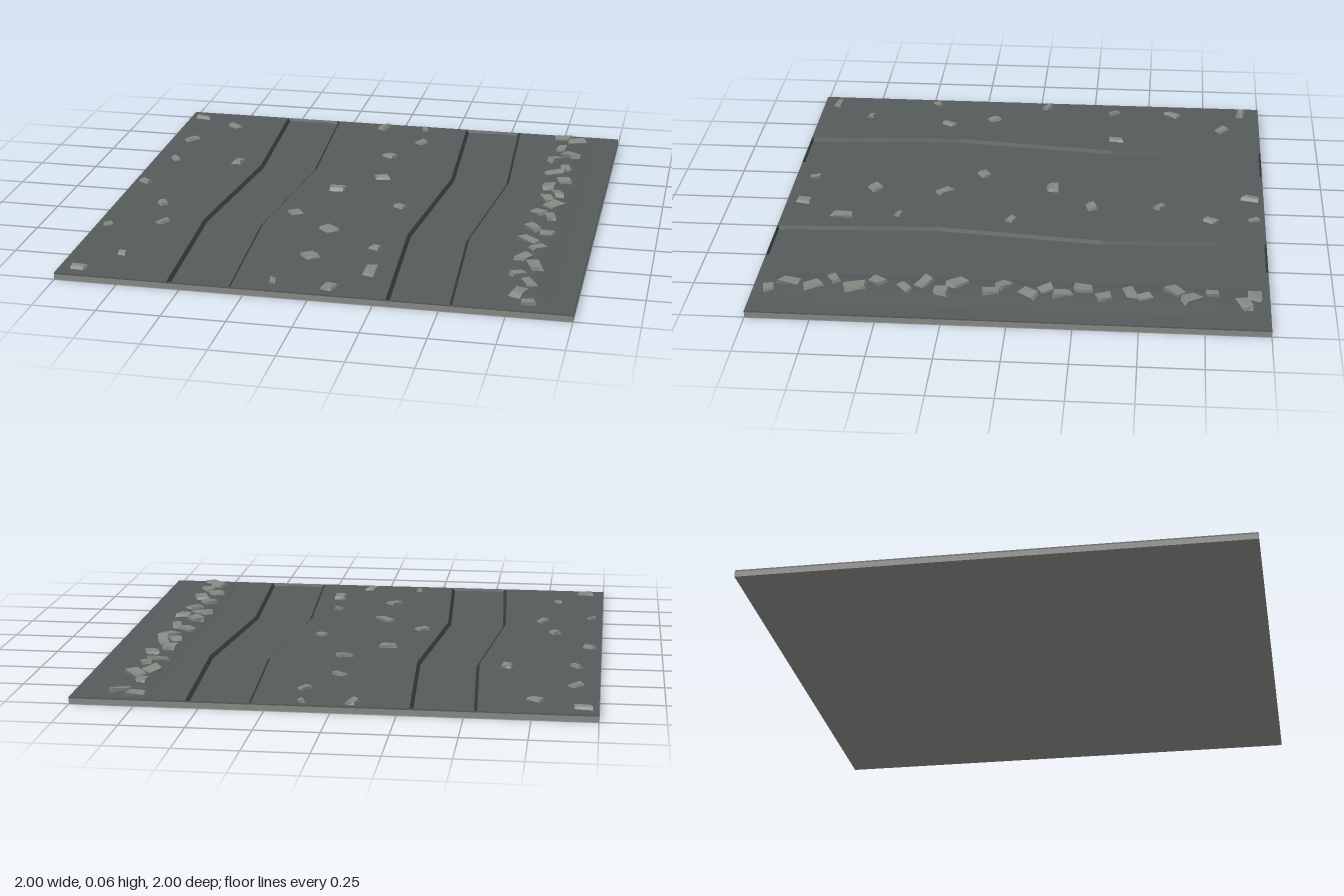
import * as THREE from 'three';

const TOP = 0.028, EDGE = 0.022, FLOOR = 0.016;

const material = (name, color) => Object.assign(new THREE.MeshStandardMaterial({ color }), { name });

// Piecewise linear interpolation through [position, value] pairs
function lerpPath(points, t) {
  for (let i = 1; i < points.length; i++) {
    const [a, va] = points[i - 1], [b, vb] = points[i];
    if (t <= b) return va + (vb - va) * (t - a) / (b - a);
  }
  return points[points.length - 1][1];
}

// Sideways sway of the ruts and fade of the bank along z
const sway = z => lerpPath([[-1, 0], [-0.34, 0.035], [0.34, -0.035], [1, 0]], z);
const bankHeight = z => lerpPath([[-1, 0], [-0.8, 0.012], [0.85, 0.014], [1, 0]], z);

// Cross-section: x, depth below the surface, whether it sways, share of bank height
const rut = c => [
  [c - 0.126, 0, 1, 0], [c - 0.113, 1, 1, 0], [c - 0.03, 0.9, 1, 0], [c + 0.03, 0.8, 1, 0],
  [c + 0.113, 1, 1, 0], [c + 0.126, 0, 1, 0],
];
const SECTION = [
  [-1, 0, 0, 0], ...rut(-0.425), ...rut(0.425),
  [0.69, 0, 0, 0], [0.75, 0, 0, 0.9], [0.83, 0, 0, 1], [0.92, 0, 0, 0], [1, 0, 0, 0],
];
const ROWS = [-1, -0.992, -0.8, -0.34, 0, 0.34, 0.85, 0.992, 1];

function sectionPoint(s, z) {
  const [x, depth, moves, bank] = s;
  const open = Math.abs(z) < 0.995 ? 1 : 0;
  return [x + moves * sway(z), TOP - depth * open * (TOP - FLOOR) + bank * bankHeight(z), z];
}

function surface(triangles) {
  const g = new THREE.BufferGeometry();
  g.setAttribute('position', new THREE.Float32BufferAttribute(triangles, 3));
  g.computeVertexNormals();
  return g;
}

// Irregular chipped stone: a box whose corners are shifted and top is tapered
function stoneGeometry(length, height, width, seed) {
  const g = new THREE.BoxGeometry(length, height, width).toNonIndexed();
  const p = g.attributes.position;
  for (let i = 0; i < p.count; i++) {
    const sx = Math.sign(p.getX(i)), sy = Math.sign(p.getY(i)), sz = Math.sign(p.getZ(i));
    const k = seed * 2.7 + sx * 1.3 + sy * 2.1 + sz * 3.7;
    const taper = sy > 0 ? 0.84 : 1;
    p.setXYZ(i,
      p.getX(i) * taper + length * 0.1 * Math.sin(k * 3.1),
      p.getY(i) + (sy > 0 ? height * 0.16 * Math.sin(k * 1.9) : 0),
      p.getZ(i) * taper + width * 0.13 * Math.cos(k * 2.3));
  }
  g.computeVertexNormals();
  return g;
}

export function createModel() {
  const group = new THREE.Group();
  const earth = material('dark slate ground', 0x555a5b);
  const shade = material('rut edge', 0x34393a);
  const stone = material('grey stone', 0x858782);

  const add = (parent, name, geometry, mat) => {
    const mesh = new THREE.Mesh(geometry, mat);
    mesh.name = name;
    parent.add(mesh);
    return mesh;
  };

  // Slab without its top face
  const slab = new THREE.BoxGeometry(2, EDGE, 2).translate(0, EDGE / 2, 0);
  slab.setIndex(Array.from(slab.index.array).filter((_, i) => i < 12 || i >= 18));
  slab.clearGroups();
  add(group, 'slab', slab, stone);

  // Ground with two sunken ruts and a low bank; steep rut walls are kept apart
  const ground = [], walls = [];
  const quad = (out, a, b, c, d) => out.push(...a, ...b, ...c, ...a, ...c, ...d);
  for (let r = 0; r + 1 < ROWS.length; r++) {
    for (let i = 0; i + 1 < SECTION.length; i++) {
      const s = SECTION[i], t = SECTION[i + 1], z0 = ROWS[r], z1 = ROWS[r + 1];
      const isWall = (s[1] === 0) !== (t[1] === 0);
      const isEnd = s[1] + t[1] > 0 && (r === 0 || r === ROWS.length - 2);
      quad(isWall || isEnd ? walls : ground,
        sectionPoint(s, z0), sectionPoint(s, z1), sectionPoint(t, z1), sectionPoint(t, z0));
    }
  }
  // Thin rim of ground above the slab sides
  const corners = [[-1, 1], [1, 1], [1, -1], [-1, -1]];
  corners.forEach(([x, z], i) => {
    const [u, w] = corners[(i + 1) % 4];
    quad(ground, [x, EDGE, z], [u, EDGE, w], [u, TOP, w], [x, TOP, z]);
  });
  add(group, 'ground', surface(ground), earth);
  add(group, 'rutWalls', surface(walls), shade);

  // Scattered stones: x, z, length, width, turn in degrees
  const scattered = [
    [-0.94, -0.92, 0.08, 0.035, 8], [-0.76, -0.83, 0.06, 0.04, 40], [-0.91, -0.61, 0.07, 0.04, -50],
    [-0.625, -0.36, 0.07, 0.045, 95], [-0.905, -0.34, 0.05, 0.028, 50], [-0.95, -0.035, 0.05, 0.03, 30],
    [-0.8, 0.2, 0.055, 0.04, 60], [-0.74, 0.4, 0.06, 0.035, -60], [-0.955, 0.475, 0.04, 0.024, -40],
    [-0.8, 0.765, 0.04, 0.03, 10], [-0.92, 0.935, 0.065, 0.035, 5], [-0.08, -0.945, 0.07, 0.04, -75],
    [0.115, -0.955, 0.05, 0.025, 70], [0.13, -0.775, 0.055, 0.04, -55], [0.02, -0.565, 0.055, 0.04, 35],
    [0.04, -0.28, 0.07, 0.04, -15], [-0.12, -0.11, 0.07, 0.05, -5], [0.18, 0.045, 0.045, 0.035, 30],
    [-0.235, 0.195, 0.06, 0.045, -30], [-0.06, 0.35, 0.075, 0.055, 45], [0.165, 0.515, 0.04, 0.03, 20],
    [-0.07, 0.645, 0.065, 0.05, -35], [0.19, 0.75, 0.095, 0.05, 90], [-0.155, 0.915, 0.045, 0.025, 80],
    [0.07, 0.93, 0.07, 0.045, -75],
  ];
  const stones = new THREE.Group();
  stones.name = 'scatteredStones';
  group.add(stones);
  scattered.forEach(([x, z, length, width, turn], i) => {
    const mesh = add(stones, 'stone', stoneGeometry(length, 0.018, width, i), stone);
    mesh.position.set(x, TOP + 0.002, z);
    mesh.rotation.y = -turn * Math.PI / 180;
  });

  // Rubble lying along the bank: x, z, turn in degrees
  const rubble = [
    [0.755, -0.94, 0], [0.82, -0.9, -20], [0.765, -0.78, 95], [0.81, -0.695, 45], [0.755, -0.635, -50],
    [0.81, -0.52, 70], [0.775, -0.46, -15], [0.82, -0.365, 70], [0.765, -0.285, 90], [0.81, -0.2, 70],
    [0.775, -0.14, 60], [0.81, -0.07, -50], [0.755, 0.03, 40], [0.81, 0.07, 75], [0.755, 0.205, 50],
    [0.82, 0.265, 5], [0.755, 0.335, 30], [0.8, 0.41, -40], [0.76, 0.52, -55], [0.81, 0.6, 70],
    [0.755, 0.69, -30], [0.81, 0.77, 60], [0.78, 0.86, -80], [0.825, 0.935, -10],
  ];
  const bank = new THREE.Group();
  bank.name = 'rubbleBank';
  group.add(bank);
  rubble.forEach(([x, z, turn], i) => {
    const length = 0.075 + 0.015 * Math.sin(i * 2.4), width = 0.045 + 0.008 * Math.cos(i * 1.7);
    const mesh = add(bank, 'rubbleStone', stoneGeometry(length, 0.02, width, i + 40), stone);
    mesh.position.set(x, TOP + bankHeight(z) + 0.001, z);
    mesh.rotation.set(0.12 * Math.sin(i * 1.3), -turn * Math.PI / 180, 0.1 * Math.cos(i * 2.1));
  });

  return group;
}
